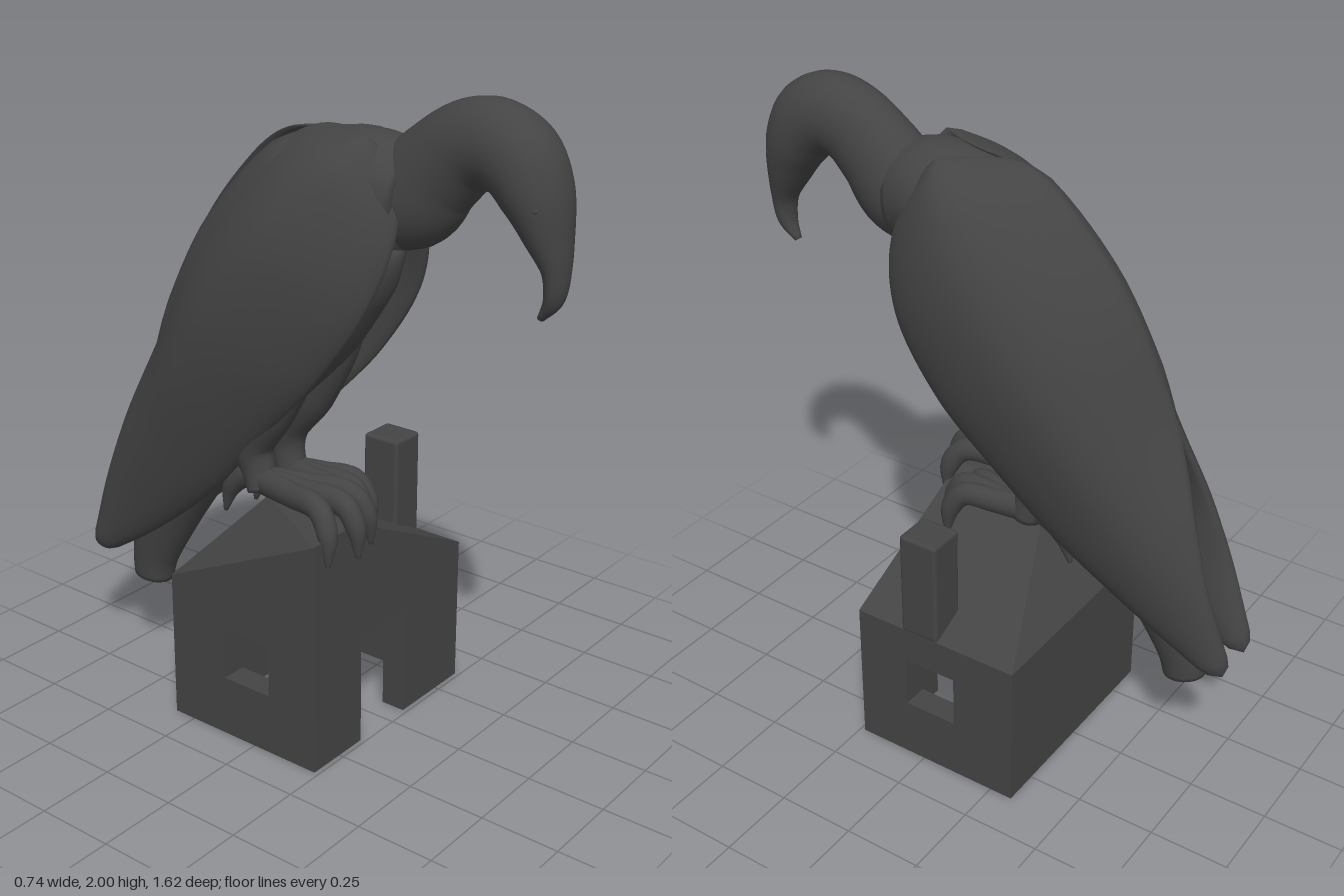
import * as THREE from 'three';
import { ConvexGeometry } from 'three/addons/geometries/ConvexGeometry.js';
import { RoundedBoxGeometry } from 'three/addons/geometries/RoundedBoxGeometry.js';

const V = (x, y, z) => new THREE.Vector3(x, y, z);
// the bird stands slightly turned: its centre line drifts in x along z
const centreX = z => Math.min(-0.045, -0.08 + 0.092 * z);

// closed skin over equal-length rings of points
function skin(rings, flip = false) {
  const n = rings[0].length, pos = [], idx = [];
  rings.forEach(r => r.forEach(p => pos.push(p.x, p.y, p.z)));
  const tri = (a, b, c) => (flip ? idx.push(a, c, b) : idx.push(a, b, c));
  for (let i = 0; i < rings.length - 1; i++) {
    for (let j = 0; j < n; j++) {
      const a = i * n + j, b = i * n + (j + 1) % n;
      tri(a, b, b + n);
      tri(a, b + n, a + n);
    }
  }
  const g = new THREE.BufferGeometry();
  g.setAttribute('position', new THREE.Float32BufferAttribute(pos, 3));
  g.setIndex(idx);
  g.computeVertexNormals();
  return g;
}

// elliptical loft; each section is [x, y, z, radius, half width in x]
function loft(sections, steps = 32, sides = 24) {
  const path = new THREE.CatmullRomCurve3(sections.map(s => V(s[0], s[1], s[2])));
  const size = new THREE.CatmullRomCurve3(sections.map(s => V(s[3], s[4], 0)));
  const rings = [];
  for (let i = -1; i <= steps + 1; i++) {
    const t = THREE.MathUtils.clamp(i / steps, 0, 1);
    const k = i < 0 || i > steps ? 0.001 : 1; // end caps
    const c = path.getPoint(t), s = size.getPoint(t), T = path.getTangent(t);
    const N = T.clone().cross(V(1, 0, 0)).normalize();
    const X = N.clone().cross(T).normalize();
    rings.push(Array.from({ length: sides }, (_, j) => {
      const a = (j / sides) * Math.PI * 2;
      return c.clone().addScaledVector(X, Math.cos(a) * s.y * k).addScaledVector(N, Math.sin(a) * s.x * k);
    }));
  }
  return skin(rings);
}

// folded wing: each row is front edge z, y, back edge z, y, outer offset
function wing(side) {
  const rows = [
    [0.22, 1.83, 0.09, 1.885, 0.15], [0.28, 1.60, -0.12, 1.83, 0.235],
    [0.24, 1.40, -0.28, 1.69, 0.283], [0.10, 1.17, -0.42, 1.50, 0.29],
    [-0.07, 0.976, -0.53, 1.26, 0.262], [-0.28, 0.737, -0.64, 0.97, 0.205],
    [-0.55, 0.51, -0.73, 0.67, 0.145], [-0.755, 0.37, -0.815, 0.395, 0.105],
  ];
  const front = new THREE.CatmullRomCurve3(rows.map(r => V(0, r[1], r[0])));
  const back = new THREE.CatmullRomCurve3(rows.map(r => V(r[4], r[3], r[2])));
  const rings = [], steps = 60, sides = 32;
  for (let i = 0; i <= steps; i++) {
    const t = i / steps;
    // both ends close in a round
    const e = Math.min(1, t / 0.1, (1 - t) / 0.035);
    const k = Math.max(0.001, Math.sqrt(1 - (1 - e) ** 2));
    const F = front.getPoint(t), B = back.getPoint(t), outer = B.x;
    const thick = Math.min(0.055, outer * 0.32);
    // the back edges meet over the spine and part towards the tips
    const tuck = 0.72 * (1 - THREE.MathUtils.smoothstep(t, 0.58, 0.9));
    // the right shoulder is held forward, higher and closer in
    const right = side < 0 ? 1 - t : 0;
    rings.push(Array.from({ length: sides }, (_, j) => {
      const a = (j / sides) * Math.PI * 2, u = Math.cos(a) * k;
      const bend = outer * (u > 0 ? tuck : 0.22 * (1 - t));
      const y = THREE.MathUtils.lerp(F.y, B.y, (u + 1) / 2);
      const z = THREE.MathUtils.lerp(F.z, B.z, (u + 1) / 2);
      const x = outer - thick - bend * u * u + thick * Math.sin(a) * k;
      return V(centreX(z) + side * (x - 0.025 * right), y + 0.015 * right, z + 0.09 * right);
    }));
  }
  return skin(rings, side < 0);
}

function rect(path, x0, y0, x1, y1) {
  path.moveTo(x0, y0);
  path.lineTo(x1, y0);
  path.lineTo(x1, y1);
  path.lineTo(x0, y1);
  path.closePath();
  return path;
}

export function createModel() {
  const model = new THREE.Group();
  const grey = new THREE.MeshStandardMaterial({ color: 0x444444 });
  grey.name = 'dark grey';
  const add = (name, geo, parent = model) => {
    const m = new THREE.Mesh(geo, grey);
    m.name = name;
    parent.add(m);
    return m;
  };

  // hollow house
  const house = new THREE.Group();
  house.name = 'house';
  model.add(house);
  const wallT = 0.08, extrude = { depth: wallT, bevelEnabled: false };
  const frontShape = new THREE.Shape([
    [-0.37, 0], [-0.145, 0], [-0.145, 0.36], [0.075, 0.36], [0.075, 0], [0.365, 0], [0.365, 0.46], [-0.37, 0.46],
  ].map(p => new THREE.Vector2(...p)));
  add('frontWall', new THREE.ExtrudeGeometry(frontShape, extrude), house).position.z = 0.235 - wallT;
  const sideShape = rect(new THREE.Shape(), -0.325, 0, 0.235, 0.46);
  sideShape.holes.push(rect(new THREE.Path(), -0.115, 0.195, 0.06, 0.365));
  const sideGeo = new THREE.ExtrudeGeometry(sideShape, extrude).rotateY(-Math.PI / 2);
  add('leftWall', sideGeo, house).position.x = 0.365;
  add('rightWall', sideGeo, house).position.x = -0.37 + wallT;
  add('backWall', new THREE.BoxGeometry(0.735, 0.46, wallT), house).position.set(-0.0025, 0.23, -0.325 + wallT / 2);

  // roof sloping to the left and to the back, with hips from the peak to both back corners
  add('roof', new ConvexGeometry([
    [-0.37, 0.42, 0.235], [0.365, 0.42, 0.235], [0.365, 0.42, -0.325], [-0.37, 0.42, -0.325],
    [-0.37, 0.74, 0.235], [-0.17, 0.74, 0.235], [0.365, 0.48, 0.235], [0.365, 0.48, -0.325],
    [-0.37, 0.48, -0.325], [-0.17, 0.74, -0.10],
  ].map(p => V(...p))), house);
  add('chimney', new RoundedBoxGeometry(0.123, 0.345, 0.13, 2, 0.012), house).position.set(0.3055, 0.6475, 0.008);

  // bird body and tail
  const bird = new THREE.Group();
  bird.name = 'bird';
  model.add(bird);
  add('body', loft([
    [0.33, 1.69, 0.14, 0.13], [0.22, 1.70, 0.18, 0.17], [0.065, 1.60, 0.28, 0.2],
    [-0.10, 1.40, 0.30, 0.215], [-0.27, 1.16, 0.265, 0.2], [-0.43, 0.87, 0.19, 0.15],
    [-0.55, 0.58, 0.12, 0.10], [-0.62, 0.38, 0.08, 0.07], [-0.632, 0.30, 0.068, 0.06],
  ].map(([z, y, r, w]) => [centreX(z), y, z, r, w]), 48, 32), bird);

  // bent neck, head and hooked beak
  add('neckAndHead', loft([
    [0.25, 1.68, 0.14, 0.125], [0.33, 1.71, 0.15, 0.12], [0.41, 1.79, 0.135, 0.11], [0.50, 1.86, 0.125, 0.105],
    [0.585, 1.878, 0.122, 0.108], [0.66, 1.845, 0.118, 0.11], [0.715, 1.765, 0.098, 0.105],
    [0.755, 1.665, 0.065, 0.08], [0.783, 1.57, 0.036, 0.048], [0.778, 1.495, 0.027, 0.034],
    [0.742, 1.437, 0.01, 0.012],
  ].map(([z, y, r, w]) => [-0.045, y, z, r, w]), 56, 28), bird);
  for (const s of [-1, 1]) {
    add(s > 0 ? 'leftEye' : 'rightEye', new THREE.SphereGeometry(0.012, 12, 8), bird)
      .position.set(-0.045 + s * 0.08, 1.745, 0.76);
    add(s > 0 ? 'leftWing' : 'rightWing', wing(s), bird);
  }

  // legs and feet: the right foot stands further forward, higher, longer and wider spread
  for (const [name, x, dz, dy, spread, stretch] of [
    ['left', -0.03, 0, -0.02, 0.75, 0.01], ['right', -0.215, 0.04, 0.02, 1.15, 0.08],
  ]) {
    const leg = new THREE.Group();
    leg.name = name + 'Leg';
    bird.add(leg);
    add(name + 'Thigh', loft([
      [x, 1.42, 0.04, 0.14, 0.07], [x, 1.25, -0.02, 0.15, 0.085], [x, 1.05, -0.09, 0.12, 0.08],
      [x, 0.91, -0.14 + dz * 0.5, 0.07, 0.058], [x, 0.84, -0.14 + dz, 0.056, 0.046],
      [x, 0.765 + dy, -0.12 + dz, 0.05, 0.05],
    ]), leg);
    for (const s of [-1, 0, 1]) {
      const reach = dz + stretch + (s === 0 ? 0.03 : 0), w = s * spread;
      add(name + 'Toe', loft([
        [x, 0.79 + dy, -0.12 + dz, 0.045, 0.04], [x + w * 0.035, 0.795 + dy, -0.02 + dz + stretch / 2, 0.04, 0.034],
        [x + w * 0.065, 0.795 + dy, 0.07 + reach, 0.037, 0.032],
        [x + w * 0.08, 0.735 + dy, 0.115 + reach, 0.032, 0.028],
        [x + w * 0.088, 0.64 + dy, 0.125 + reach, 0.007, 0.007],
      ], 24, 14), leg);
    }
    add(name + 'BackToe', loft([
      [x, 0.79 + dy, -0.11 + dz, 0.045, 0.04], [x, 0.79 + dy, -0.18 + dz, 0.038, 0.032],
      [x, 0.74 + dy, -0.245 + dz, 0.032, 0.026], [x, 0.65 + dy, -0.275 + dz, 0.007, 0.007],
    ], 20, 14), leg);
  }
  return model;
}
